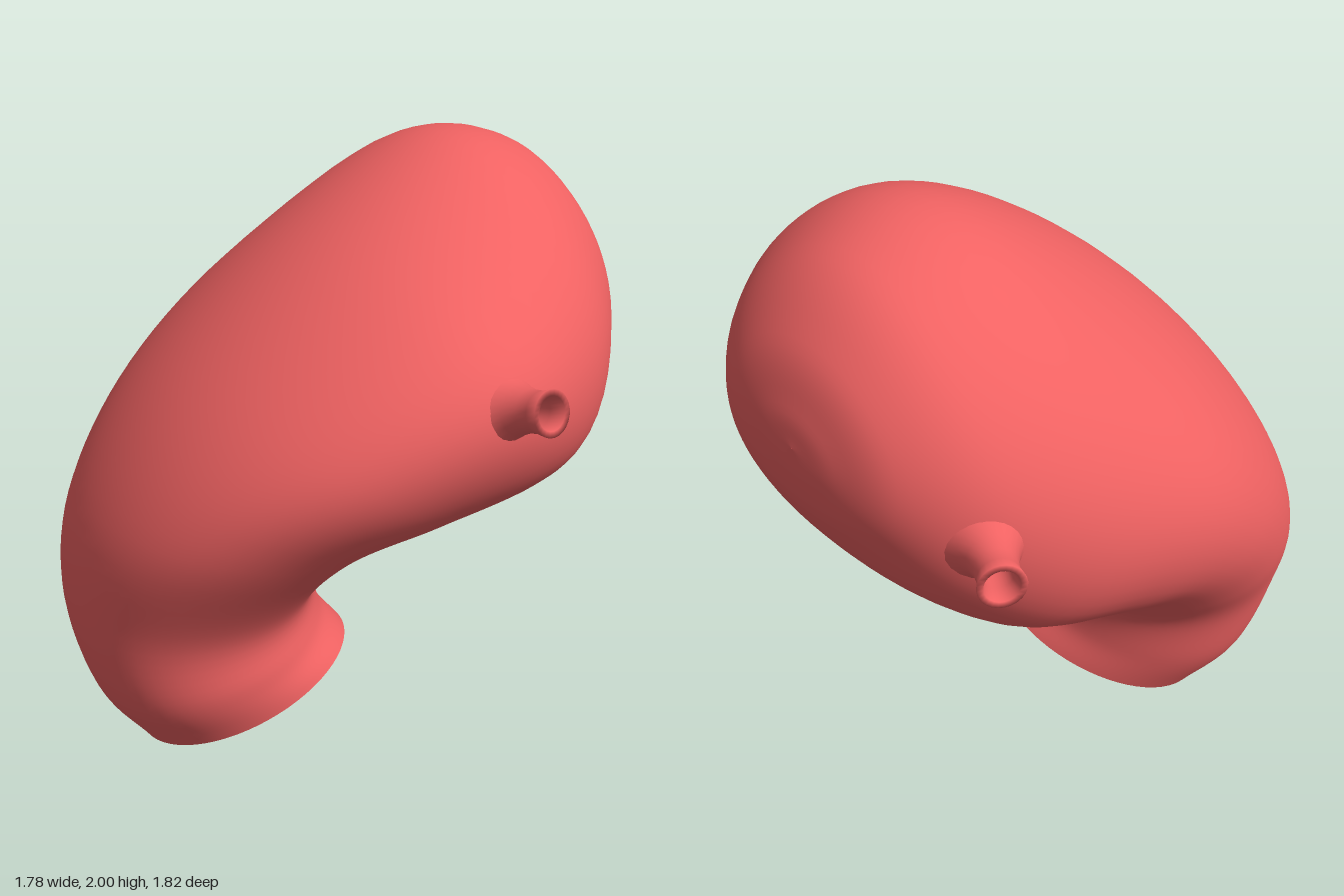
import * as THREE from 'three';

const material = new THREE.MeshStandardMaterial({ color: 0xf06262, side: THREE.DoubleSide });

// Cross-sections from the open neck to the closed end:
// outer bend x, y | inner bend x, y | z centre, z half width |
// x, y shift of the front edge | x, y shift of the back edge | flattening of the shoulder
const sections = [
  [-0.70, 0.04, 0.02, 0.30, -0.185, 0.375, -0.01, 0.10, 0.01, -0.10, 0],
  [-0.835, 0.25, -0.03, 0.40, -0.25, 0.44, -0.05, 0.07, 0.02, -0.07, 0.02],
  [-0.89, 0.58, -0.02, 0.53, -0.28, 0.49, -0.07, 0.05, 0.02, -0.03, 0.03],
  [-0.84, 0.96, 0.06, 0.66, -0.20, 0.65, -0.12, 0.13, 0.04, -0.06, 0.01],
  [-0.61, 1.36, 0.18, 0.765, -0.11, 0.79, -0.10, 0.13, 0.06, -0.08, -0.02],
  [-0.20, 1.73, 0.38, 0.825, -0.055, 0.835, -0.06, 0.11, 0, -0.12, -0.05],
  [0.28, 1.985, 0.56, 0.89, -0.07, 0.73, 0, -0.02, 0, -0.18, -0.05],
  [0.62, 1.945, 0.74, 1.05, -0.10, 0.55, 0, -0.04, 0, -0.13, -0.03],
  [0.81, 1.77, 0.85, 1.24, -0.10, 0.35, 0, -0.03, 0, -0.06, 0],
  [0.875, 1.60, 0.885, 1.38, -0.10, 0.16, 0, 0, 0, -0.02, 0],
  [0.89, 1.485, 0.89, 1.484, -0.10, 0.001, 0, 0, 0, 0, 0],
];

const spline = (pick) =>
  new THREE.CatmullRomCurve3(sections.map((s) => new THREE.Vector3(...pick(s))), false, 'catmullrom', 0.5);
const outerBend = spline((s) => [s[0], s[1], s[4]]);
const innerBend = spline((s) => [s[2], s[3], s[5]]);
const frontShift = spline((s) => [s[6], s[7], s[10]]);
const backShift = spline((s) => [s[8], s[9], 0]);

const SIDES = 64;

// Point on the wall; scale shrinks the section around its middle
function wallPoint(t, angle, scale) {
  const o = outerBend.getPoint(t), i = innerBend.getPoint(t);
  const f = frontShift.getPoint(t), b = backShift.getPoint(t);
  const sin = Math.sin(angle), cos = Math.cos(angle);
  const k = scale * (1 + f.z * cos * Math.sin(2 * angle) ** 2);
  const c = cos * k, s = sin * k;
  // smooth weights, one at the front or back edge and zero at both bends
  const wf = scale * (sin * sin + sin) / 2, wb = scale * (sin * sin - sin) / 2;
  return [
    (o.x + i.x) / 2 + (c * (o.x - i.x)) / 2 + f.x * wf + b.x * wb,
    (o.y + i.y) / 2 + (c * (o.y - i.y)) / 2 + f.y * wf + b.y * wb,
    o.z + i.z * s,
  ];
}

// Skin a list of [t, scale] rings with a closed strip of quads
function loft(rings) {
  const positions = [], index = [];
  rings.forEach(([t, scale], r) => {
    for (let j = 0; j < SIDES; j++) {
      positions.push(...wallPoint(t, (j / SIDES) * Math.PI * 2, scale));
      if (r === 0) continue;
      const n = (j + 1) % SIDES;
      const a = (r - 1) * SIDES + j, b = (r - 1) * SIDES + n;
      const c = r * SIDES + n, d = r * SIDES + j;
      index.push(a, b, c, a, c, d);
    }
  });
  const geometry = new THREE.BufferGeometry();
  geometry.setAttribute('position', new THREE.Float32BufferAttribute(positions, 3));
  geometry.setIndex(index);
  geometry.computeVertexNormals();
  return geometry;
}

function addMesh(group, name, geometry) {
  const mesh = new THREE.Mesh(geometry, material);
  mesh.name = name;
  group.add(mesh);
  return mesh;
}

// Short hollow spout with a flared root; its rim sits at the tip
const spoutProfile = [
  [0.12, -0.19], [0.09, -0.155], [0.072, -0.12], [0.06, -0.08],
  [0.058, -0.04], [0.066, 0], [0.048, 0], [0.042, -0.05], [0.042, -0.19],
].map(([r, y]) => new THREE.Vector2(r, y));

function addSpout(group, name, tip, direction) {
  const spout = addMesh(group, name, new THREE.LatheGeometry(spoutProfile, 24));
  spout.position.set(...tip);
  spout.quaternion.setFromUnitVectors(
    new THREE.Vector3(0, 1, 0), new THREE.Vector3(...direction).normalize());
}

export function createModel() {
  const group = new THREE.Group();
  group.name = 'bentPouch';

  // Outer skin
  const steps = 70;
  addMesh(group, 'outerWall', loft(Array.from({ length: steps + 1 }, (_, i) => [i / steps, 1])));

  // Mouth: flat rim, short inner collar and the shallow floor that closes it
  const lip = 0.9;
  addMesh(group, 'mouthRim', loft([[0, lip], [0, 1]]));
  addMesh(group, 'mouthCollar', loft([[0.045, 0.82], [0.025, 0.87], [0, lip]]));
  const floor = Array.from({ length: 9 }, (_, i) => {
    const r = i / 8;
    return [0.045 + 0.02 * (1 - r * r), Math.max(0.001, 0.82 * r)];
  });
  addMesh(group, 'mouthFloor', loft(floor));

  // Two spouts
  addSpout(group, 'frontSpout', [0.01, 1.48, 0.9], [0.05, 0.27, 1]);
  addSpout(group, 'backSpout', [0.78, 1.335, -0.765], [0.57, 0.05, -0.82]);

  return group;
}
